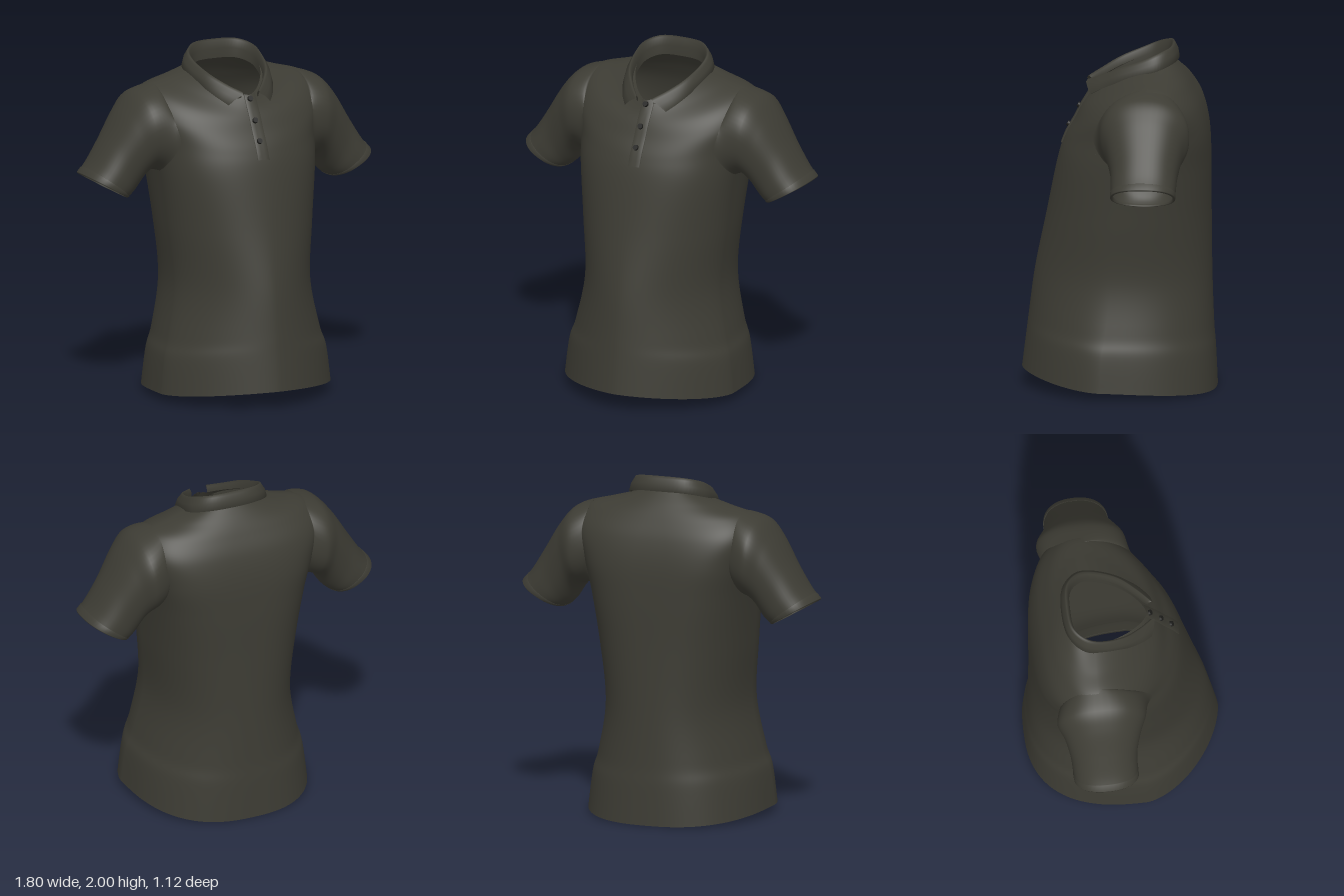
import * as THREE from 'three';

const fabric = new THREE.MeshStandardMaterial({ color: 0x3d3c34, side: THREE.DoubleSide });
fabric.name = 'dark olive fabric';
const buttonMat = new THREE.MeshStandardMaterial({ color: 0x1f1f1d });
buttonMat.name = 'near black button';

// Smooth interpolation of every column of a key table at u in [0, rows - 1]
function sample(keys, u) {
  const n = keys.length - 1;
  const i = Math.min(Math.max(Math.floor(u), 0), n - 1);
  const t = u - i;
  const k = (j) => keys[Math.min(Math.max(j, 0), n)];
  return keys[i].map((p1, c) => {
    const p2 = k(i + 1)[c];
    const m1 = (p2 - k(i - 1)[c]) / 2, m2 = (k(i + 2)[c] - p1) / 2;
    return p1 + m1 * t + (3 * (p2 - p1) - 2 * m1 - m2) * t * t + (2 * (p1 - p2) + m1 + m2) * t * t * t;
  });
}

// Surface grid: fn(i, j) gives a point; columns may wrap round
function grid(name, rows, cols, closed, fn) {
  const pos = [], idx = [];
  const n = closed ? cols : cols + 1;
  for (let i = 0; i <= rows; i++) for (let j = 0; j < n; j++) pos.push(...fn(i, j));
  for (let i = 0; i < rows; i++) for (let j = 0; j < cols; j++) {
    const a = i * n + j, b = i * n + (j + 1) % n;
    idx.push(a, a + n, b, b, a + n, b + n);
  }
  const g = new THREE.BufferGeometry();
  g.setAttribute('position', new THREE.Float32BufferAttribute(pos, 3));
  g.setIndex(idx);
  g.computeVertexNormals();
  const mesh = new THREE.Mesh(g, fabric);
  mesh.name = name;
  return mesh;
}

const spow = (v, e) => Math.sign(v) * Math.pow(Math.abs(v), e);

// Body rings: half width, side y, side z, front y, front z, back y, back z, front and back squareness
const BODY = [
  [0.53, 0.045, 0.09, 0.10, 0.56, 0.00, -0.56, 1.62, 2.5],
  [0.505, 0.25, 0.08, 0.30, 0.535, 0.22, -0.55, 1.64, 2.4],
  [0.468, 0.37, 0.06, 0.42, 0.52, 0.36, -0.54, 1.66, 2.3],
  [0.415, 0.66, 0.03, 0.68, 0.485, 0.65, -0.53, 1.72, 2.3],
  [0.44, 1.00, 0.00, 1.00, 0.42, 1.00, -0.525, 1.9, 2.5],
  [0.47, 1.30, -0.03, 1.32, 0.355, 1.30, -0.522, 2.1, 3.0],
  [0.50, 1.50, -0.10, 1.46, 0.31, 1.50, -0.51, 2.1, 3.4],
  [0.545, 1.68, -0.16, 1.56, 0.255, 1.65, -0.475, 2.05, 3.0],
  [0.50, 1.787, -0.18, 1.63, 0.22, 1.76, -0.42, 1.9, 2.4],
  [0.36, 1.832, -0.18, 1.69, 0.185, 1.84, -0.365, 1.65, 2.1],
  [0.205, 1.872, -0.17, 1.755, 0.15, 1.91, -0.30, 1.5, 2.2],
];

function bodyPoint(u, a, off = 0) {
  const [w, ys, zc, yf, zf, yb, zb, ef, eb] = sample(BODY, u);
  const front = Math.sin(a) >= 0;
  const e = 2 / (front ? ef : eb);
  const s = Math.pow(Math.abs(Math.sin(a)), e);
  const y = ys + ((front ? yf : yb) - ys) * Math.pow(s, 1.5);
  const z = zc + ((front ? zf : zb) + (front ? off : -off) - zc) * s;
  return [(w + off) * spow(Math.cos(a), e), y, z];
}

// Row on the body whose front centre lies at height y
function rowAt(y) {
  let lo = 0, hi = BODY.length - 1;
  for (let k = 0; k < 30; k++) {
    const m = (lo + hi) / 2;
    if (bodyPoint(m, Math.PI / 2)[1] < y) lo = m; else hi = m;
  }
  return lo;
}

// Sleeve rings: top x, top y, under x, under y, front z, back z
const SLEEVE = [
  [0.45, 1.805, 0.465, 1.31, 0.10, -0.41],
  [0.57, 1.766, 0.515, 1.318, 0.085, -0.425],
  [0.66, 1.67, 0.56, 1.275, 0.05, -0.39],
  [0.76, 1.51, 0.60, 1.21, 0.02, -0.365],
  [0.84, 1.385, 0.63, 1.18, 0.015, -0.358],
  [0.90, 1.312, 0.652, 1.168, 0.012, -0.352],
];

// The first ring lies on the body's armhole and eases into the sleeve rings
function sleevePoint(u, a, side, grow = 1) {
  const [tx, ty, bx, by, zf, zb] = sample(SLEEVE, u);
  const c = spow(Math.cos(a), 0.87) * grow, s = spow(Math.sin(a), 0.87) * grow * side;
  const ring = [(tx + bx) / 2 + (tx - bx) / 2 * c, (ty + by) / 2 + (ty - by) / 2 * c,
    (zf + zb) / 2 - (zf - zb) / 2 * s];
  const hole = bodyPoint(6.75 + 1.65 * Math.cos(a), -0.66 * Math.sin(a) * side);
  const t = THREE.MathUtils.smoothstep(u, -0.4, 1);
  const t0 = THREE.MathUtils.smoothstep(0, -0.4, 1);
  const [x, y, z] = hole.map((h, k) => h + (ring[k] - h) * (t - t0) / (1 - t0));
  return [side * x, y, z];
}

// Collar from back centre to tip: fold x, y, z, then leaf edge x, y, z
const COLLAR = [
  [0, 1.995, -0.31, 0, 1.91, -0.342],
  [0.13, 1.99, -0.295, 0.145, 1.905, -0.322],
  [0.203, 1.965, -0.225, 0.236, 1.878, -0.243],
  [0.216, 1.925, -0.13, 0.25, 1.845, -0.13],
  [0.185, 1.875, 0.0, 0.222, 1.798, 0.005],
  [0.122, 1.825, 0.10, 0.178, 1.75, 0.105],
  [0.052, 1.785, 0.182, 0.132, 1.712, 0.165],
];

function collar() {
  const mirrored = COLLAR.slice(1).reverse().map(([a, b, c, d, e, f]) => [-a, b, c, -d, e, f]);
  const keys = [...mirrored, ...COLLAR];
  const cols = 72;
  return grid('collar', 7, cols, false, (i, j) => {
    const [fx, fy, fz, lx, ly, lz] = sample(keys, j / cols * (keys.length - 1));
    const out = new THREE.Vector2(fx, fz + 0.1).normalize();
    const at = (x, y, z, o) => [x + out.x * o, y, z + out.y * o];
    const stand = 0.11 - 0.075 * Math.pow(Math.abs(2 * j / cols - 1), 5);
    return [
      at(lx, ly + 0.004, lz, -0.016),
      at(lx, ly, lz, 0),
      at(lx * 0.5 + fx * 0.5, (ly + fy) / 2, (lz + fz) / 2, 0.008),
      at(fx, fy - 0.014, fz, 0.009),
      at(fx, fy, fz, 0),
      at(fx, fy - 0.008, fz, -0.012),
      at(fx, fy - stand * 0.5, fz, -0.02),
      at(fx, fy - stand, fz, -0.02),
    ][i];
  });
}

export function createModel() {
  const shirt = new THREE.Group();
  shirt.name = 'poloShirt';
  const TAU = Math.PI * 2, seg = 96, top = BODY.length - 1;

  shirt.add(grid('body', 80, seg, true, (i, j) => bodyPoint(i / 80 * top, j / seg * TAU)));

  // Turned hem inside the lower edge
  const hem = [[0.2, -0.01], [0, -0.01], [0, 0]];
  shirt.add(grid('hem', hem.length - 1, seg, true, (i, j) => bodyPoint(hem[i][0], j / seg * TAU, hem[i][1])));

  // Sleeves with turned cuffs
  const cuff = [[4.4, 0.99], [4.43, 1.02], [4.9, 1.025], [5, 1], [5, 0.95], [4.4, 0.95]];
  for (const [side, label] of [[1, 'left'], [-1, 'right']]) {
    shirt.add(grid(label + 'Sleeve', 40, 48, true, (i, j) => sleevePoint(i / 8, j / 48 * TAU, side)));
    shirt.add(grid(label + 'Cuff', cuff.length - 1, 48, true,
      (i, j) => sleevePoint(cuff[i][0], j / 48 * TAU, side, cuff[i][1])));
  }

  shirt.add(collar());

  // Placket: thin strip laid along the front
  const xs = [0.046, 0.045, 0.02, 0, -0.025, -0.026];
  const u0 = rowAt(1.41);
  shirt.add(grid('placket', 16, xs.length - 1, false, (i, j) => {
    const u = u0 + (top - u0) * i / 16;
    const ring = sample(BODY, u);
    const a = Math.acos(spow(xs[j] / ring[0], ring[7] / 2));
    const [x, y, z] = bodyPoint(u, a);
    const lift = j === 0 || j === xs.length - 1 ? 0 : 0.007;
    return [x, y + lift * 0.5, z + lift * 0.85];
  }));

  // Buttons
  for (const y of [1.735, 1.62, 1.51]) {
    const b = new THREE.Mesh(new THREE.CylinderGeometry(0.015, 0.017, 0.014, 20), buttonMat);
    const p = bodyPoint(rowAt(y), Math.PI / 2);
    b.position.set(0.003, p[1] + 0.006, p[2] + 0.01);
    b.rotation.x = 1.05;
    b.name = 'button';
    shirt.add(b);
  }
  return shirt;
}
